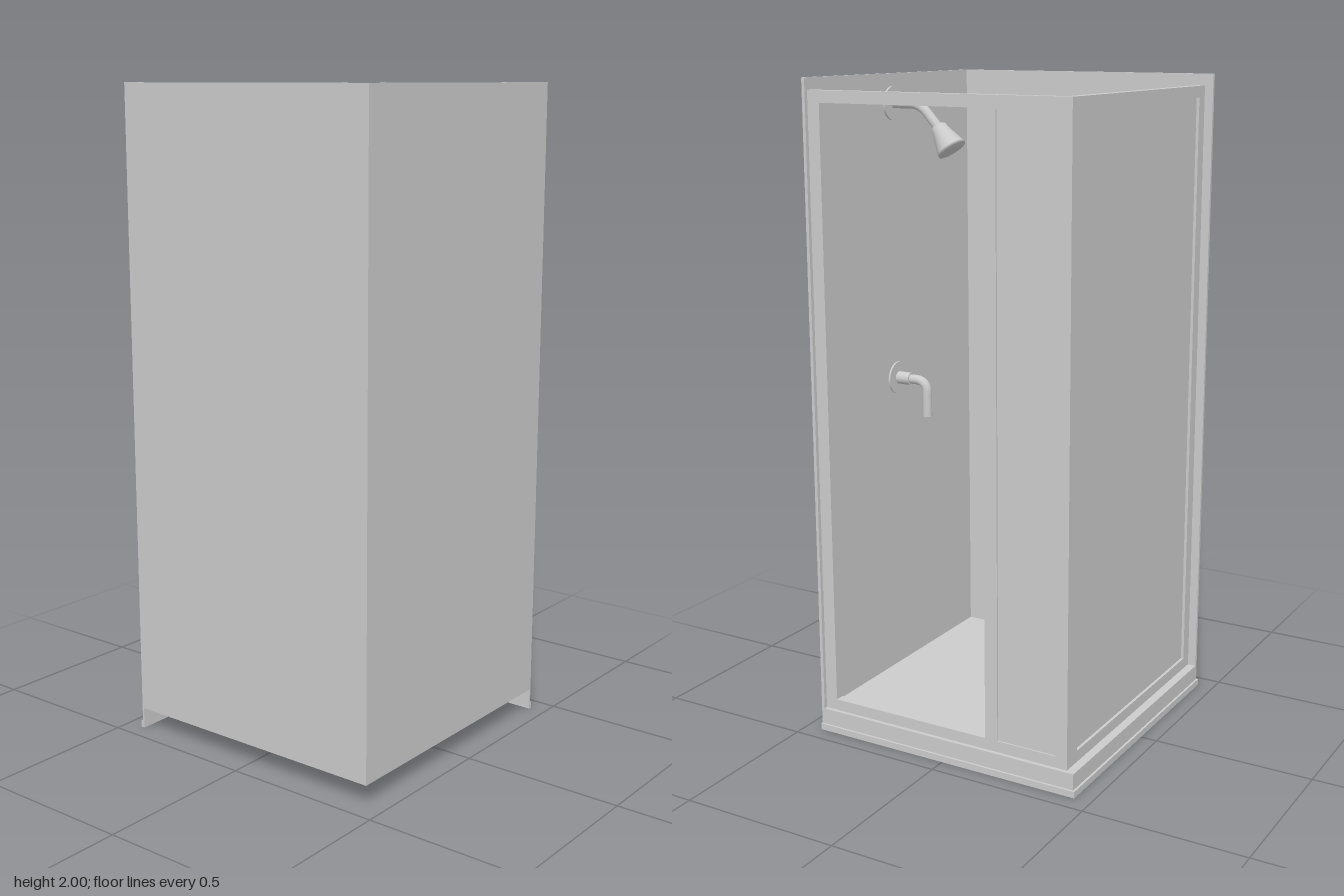
import * as THREE from 'three';

const material = new THREE.MeshStandardMaterial({ color: 0xcccccc, side: THREE.DoubleSide });

// Outer limits of the cabin
const MAX = 0.447, INNER = 0.437, LEDGE = 0.07, FRAME_TOP = 1.965;

function add(parent, name, geometry) {
  const mesh = new THREE.Mesh(geometry, material);
  mesh.name = name;
  parent.add(mesh);
  return mesh;
}

// Box given by its two opposite corners
function boxBetween(parent, name, [x0, y0, z0], [x1, y1, z1]) {
  const mesh = add(parent, name, new THREE.BoxGeometry(x1 - x0, y1 - y0, z1 - z0));
  mesh.position.set((x0 + x1) / 2, (y0 + y1) / 2, (z0 + z1) / 2);
  return mesh;
}

// Upright frame from u0 to u1 with rectangular openings [u0, u1, y0, y1]
function frameGeometry(u0, u1, openings, depth) {
  const rectangle = (path, a, b, c, d) =>
    path.moveTo(a, c).lineTo(b, c).lineTo(b, d).lineTo(a, d).closePath();
  const shape = rectangle(new THREE.Shape(), u0, u1, LEDGE, FRAME_TOP);
  for (const o of openings) shape.holes.push(rectangle(new THREE.Path(), ...o));
  return new THREE.ExtrudeGeometry(shape, { depth, bevelEnabled: false });
}

// Straight pipe with one rounded bend
function pipeGeometry(start, corner, end, radius, bend) {
  const [a, b, c] = [start, corner, end].map(([x, y]) => new THREE.Vector3(x, y, 0));
  const toward = (p) => b.clone().add(p.clone().sub(b).setLength(bend));
  const path = new THREE.CurvePath();
  const before = toward(a), after = toward(c);
  path.add(new THREE.LineCurve3(a, before));
  path.add(new THREE.QuadraticBezierCurve3(before, b, after));
  path.add(new THREE.LineCurve3(after, c));
  return new THREE.TubeGeometry(path, 40, radius, 20);
}

// Round wall plate facing -x
function wallPlate(parent, y) {
  const plate = add(parent, 'wallPlate', new THREE.CylinderGeometry(0.052, 0.052, 0.008, 40));
  plate.rotation.z = Math.PI / 2;
  plate.position.set(INNER - 0.002, y, 0);
}

// Disc that closes a pipe end
function pipeCap(parent, name, x, y, radius) {
  const cap = add(parent, name, new THREE.CircleGeometry(radius, 20));
  cap.rotation.x = Math.PI / 2;
  cap.position.set(x, y, 0);
}

function createTray() {
  const tray = new THREE.Group();
  tray.name = 'tray';
  boxBetween(tray, 'floor', [-0.44, LEDGE - 0.004, -0.44], [INNER, LEDGE, INNER]);
  // Skirts with a low lip run along the two open sides
  boxBetween(tray, 'sideSkirt', [-0.44, 0, -0.44], [-0.434, LEDGE, MAX]);
  boxBetween(tray, 'sideLip', [-MAX, 0, -MAX], [-0.44, 0.02, MAX]);
  boxBetween(tray, 'backSkirt', [-0.434, 0, -0.44], [MAX, LEDGE, -0.434]);
  boxBetween(tray, 'backLip', [-0.44, 0, -MAX], [MAX, 0.02, -0.44]);
  return tray;
}

function createWalls() {
  const walls = new THREE.Group();
  walls.name = 'walls';
  boxBetween(walls, 'frontWall', [-0.44, LEDGE - 0.004, INNER], [MAX, 2, MAX]);
  boxBetween(walls, 'leftWall', [INNER, LEDGE - 0.004, -0.44], [MAX, 2, INNER]);
  return walls;
}

function createScreens() {
  const screens = new THREE.Group();
  screens.name = 'screens';
  const low = LEDGE + 0.035, high = FRAME_TOP - 0.035;

  // Back screen: open doorway and a narrow fixed panel
  const back = add(screens, 'doorFrame', frameGeometry(-0.413, INNER,
    [[-0.14, 0.397, low, high], [-0.375, -0.182, low, high]], 0.028));
  back.position.z = -0.428;
  boxBetween(screens, 'fixedPanel', [-0.375, low, -0.423], [-0.182, high, -0.405]);

  // Side screen: one full panel
  const side = add(screens, 'sideFrame', frameGeometry(-INNER, 0.4,
    [[-0.397, 0.365, low, high]], 0.028));
  side.rotation.y = Math.PI / 2;
  side.position.x = -0.413;
  boxBetween(screens, 'sidePanel', [-0.404, low, -0.365], [-0.394, high, 0.397]);
  return screens;
}

function createShower() {
  const shower = new THREE.Group();
  shower.name = 'shower';
  wallPlate(shower, 1.91);
  add(shower, 'showerArm', pipeGeometry([INNER, 1.91], [0.335, 1.91], [0.27, 1.84], 0.015, 0.035));

  // Flared head along a tilted axis
  const profile = [[0, 0.008], [0.018, 0.006], [0.025, 0], [0.027, -0.015], [0.045, -0.072],
    [0.046, -0.082], [0, -0.082]].map(([r, y]) => new THREE.Vector2(r, y)).reverse();
  const head = add(shower, 'showerHead', new THREE.LatheGeometry(profile, 32));
  head.position.set(0.27, 1.842, 0);
  head.rotation.z = -0.62;
  return shower;
}

function createSpout() {
  const spout = new THREE.Group();
  spout.name = 'spout';
  wallPlate(spout, 1.045);
  const collar = add(spout, 'spoutCollar', new THREE.CylinderGeometry(0.02, 0.02, 0.052, 28));
  collar.rotation.z = Math.PI / 2;
  collar.position.set(0.411, 1.045, 0);
  add(spout, 'spoutPipe', pipeGeometry([INNER, 1.045], [0.325, 1.045], [0.325, 0.93], 0.015, 0.04));
  pipeCap(spout, 'spoutEnd', 0.325, 0.93, 0.015);
  return spout;
}

export function createModel() {
  const model = new THREE.Group();
  model.name = 'showerCabin';
  model.add(createTray(), createWalls(), createScreens(), createShower(), createSpout());
  return model;
}
